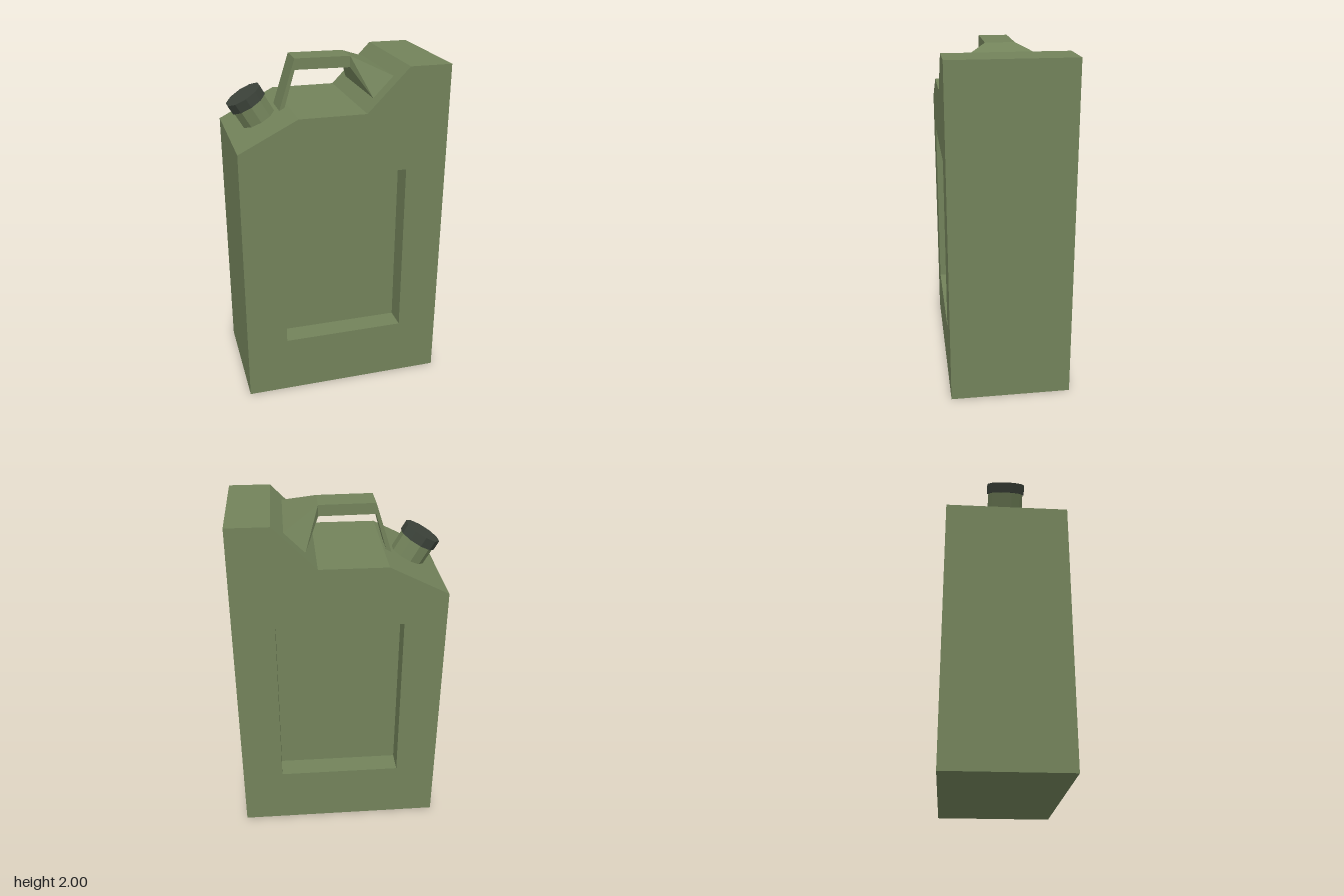
import * as THREE from 'three';

const paint = (color) => new THREE.MeshStandardMaterial({ color, flatShading: true });

function add(parent, name, geometry, material) {
  const mesh = new THREE.Mesh(geometry, material);
  mesh.name = name;
  parent.add(mesh);
  return mesh;
}

// Strap with four-cornered sections: [outerX, outerY, innerX, innerY, halfWidth]
function strapGeometry(stations) {
  const rings = stations.map(([ox, oy, ix, iy, w]) =>
    [[ox, oy, w], [ox, oy, -w], [ix, iy, -w], [ix, iy, w]]);
  const pos = [];
  for (let i = 0; i < rings.length - 1; i++) {
    for (let k = 0; k < 4; k++) {
      const n = (k + 1) % 4;
      const a = rings[i][k], b = rings[i + 1][k], c = rings[i + 1][n], d = rings[i][n];
      // both sides are split from the outer corner to the next inner corner
      const tris = k === 3 ? [a, b, d, b, c, d] : [a, b, c, a, c, d];
      tris.forEach((p) => pos.push(...p));
    }
  }
  const g = new THREE.BufferGeometry();
  g.setAttribute('position', new THREE.Float32BufferAttribute(pos, 3));
  g.computeVertexNormals();
  return g;
}

export function createModel() {
  const model = new THREE.Group();
  model.name = 'fuelCan';
  const olive = paint(0x72825a);
  const dark = paint(0x3c433a);

  // Body: solid core between two outer layers with a rectangular opening
  const half = 0.353, recess = 0.13;
  const profile = () => new THREE.Shape([
    [-0.6, 0], [0.6, 0], [0.6, 1.98], [0.36, 1.98],
    [0.12, 1.735], [-0.265, 1.735], [-0.6, 1.565],
  ].map(([x, y]) => new THREE.Vector2(x, y)));
  const slab = (shape, depth) =>
    new THREE.ExtrudeGeometry(shape, { depth, bevelEnabled: false });

  const body = new THREE.Group();
  body.name = 'body';
  model.add(body);
  const core = half - recess;
  add(body, 'bodyCore', slab(profile(), 2 * core), olive).position.z = -core;

  const framed = profile();
  framed.holes.push(new THREE.Path([
    [-0.36, 0.35], [-0.36, 1.39], [0.36, 1.39], [0.36, 0.35],
  ].map(([x, y]) => new THREE.Vector2(x, y))));
  add(body, 'frontPanelFrame', slab(framed, recess), olive).position.z = core;
  add(body, 'backPanelFrame', slab(framed, recess), olive).position.z = -half;

  // Handle: slanted post, level grip, then a flare into the rear slope
  add(model, 'handle', strapGeometry([
    [-0.315, 1.705, -0.283, 1.725, 0.085],
    [-0.22, 2.0, -0.22, 1.937, 0.085],
    [0.1, 1.997, 0.1, 1.933, 0.085],
    [0.295, 1.913, 0.18, 1.796, 0.267],
  ]), olive);

  // Spout: ten-sided neck and cap, tilted forward over the slope
  const spout = new THREE.Group();
  spout.name = 'spout';
  spout.position.set(-0.503, 1.798, 0);
  spout.rotation.z = Math.PI / 6;
  model.add(spout);
  add(spout, 'cap', new THREE.CylinderGeometry(0.112, 0.112, 0.058, 10), dark).position.y = -0.029;
  add(spout, 'neck', new THREE.CylinderGeometry(0.104, 0.104, 0.15, 10), olive).position.y = -0.125;

  return model;
}
